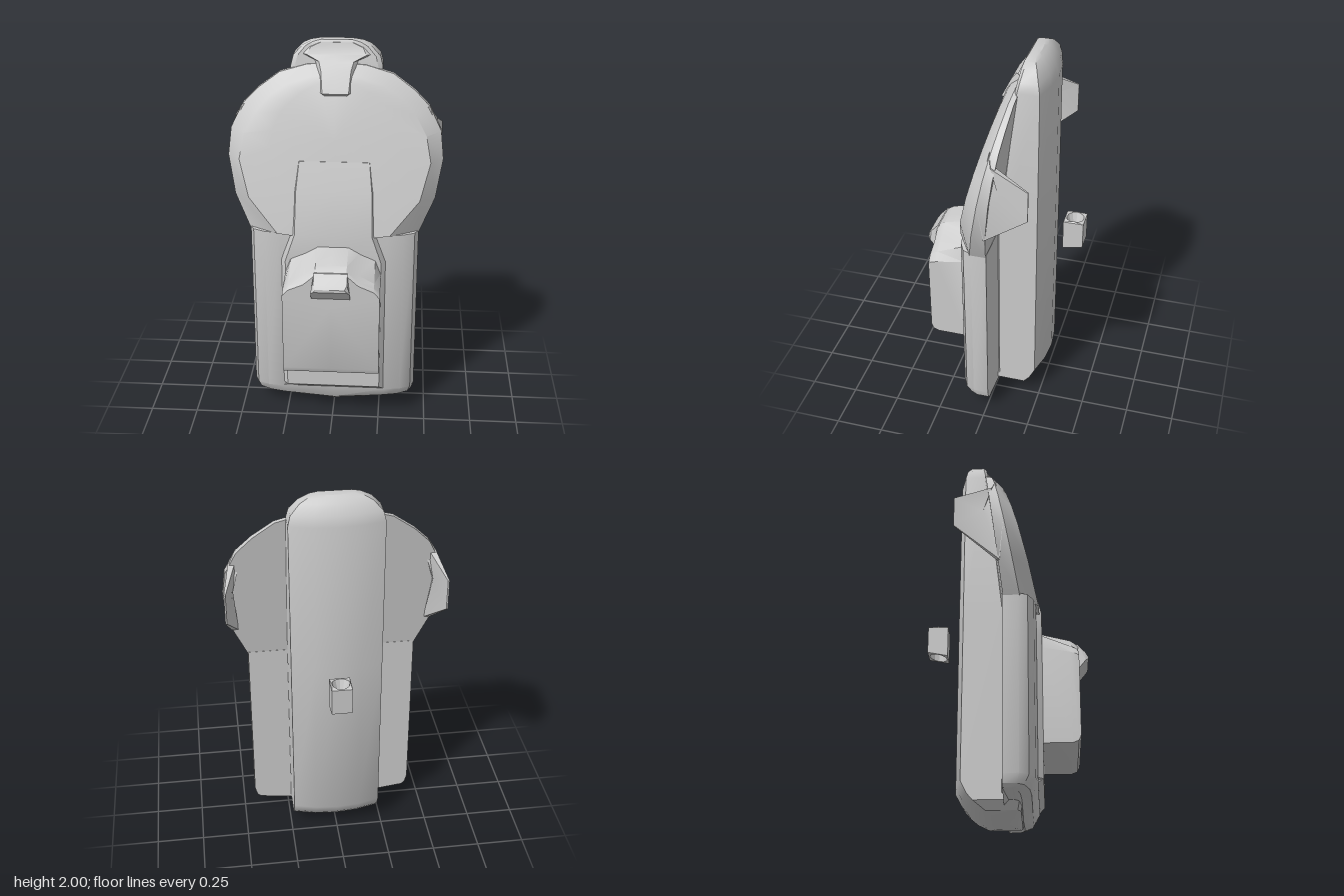
import * as THREE from 'three';
import { toCreasedNormals } from 'three/addons/utils/BufferGeometryUtils.js';

const material = new THREE.MeshStandardMaterial({ color: 0xcccccc });

// Skin a row of closed sections (each counterclockwise about the direction of travel) and cap both ends
function loft(sections) {
  const pos = [], n = sections[0].length;
  const tri = (...pts) => pts.forEach((p) => pos.push(...p));
  for (let i = 0; i < sections.length - 1; i++) {
    const s = sections[i], t = sections[i + 1];
    for (let j = 0; j < n; j++) {
      const k = (j + 1) % n;
      tri(s[j], s[k], t[k]);
      tri(s[j], t[k], t[j]);
    }
  }
  const middle = (s) => [0, 1, 2].map((a) => s.reduce((sum, p) => sum + p[a], 0) / n);
  const first = sections[0], last = sections[sections.length - 1];
  const c0 = middle(first), c1 = middle(last);
  for (let j = 0; j < n; j++) {
    const k = (j + 1) % n;
    tri(c0, first[k], first[j]);
    tri(c1, last[j], last[k]);
  }
  const g = new THREE.BufferGeometry();
  g.setAttribute('position', new THREE.Float32BufferAttribute(pos, 3));
  return toCreasedNormals(g, 0.55);
}

// Complete a right-hand half outline with its mirror image
const mirrored = (half) => half.concat(
  half.filter((p) => p[0] > 0).reverse().map(([x, v]) => [-x, v]));

export function createModel() {
  const model = new THREE.Group();
  const add = (name, geometry, mat = material) => {
    const mesh = new THREE.Mesh(geometry, mat);
    mesh.name = name;
    model.add(mesh);
    return mesh;
  };

  // Lower body with rounded front edges and a sagging belly
  const bodyHalf = [[0, 0.155], [0.28, 0.155], [0.36, 0.145], [0.42, 0.115], [0.44, 0.07], [0.44, -0.01], [0, -0.01]];
  const bodyRows = [ // y, sag, width scale, depth scale
    [0.06, 0.055, 0.93, 0.5], [0.075, 0.035, 0.97, 0.8], [0.12, 0, 1, 1], [1.05, 0, 1, 1]];
  add('lowerBody', loft(bodyRows.map(([y, sag, sx, sz]) => mirrored(bodyHalf).map(([x, z]) =>
    [x * sx, y - sag * (1 - Math.abs(x) / 0.44), z > 0 ? z * sz : z]))));

  // Round upper body: tilted plate with a bevelled rim and a shallow dome
  const rim = mirrored([[0, 1.04], [0.28, 1.04], [0.44, 1.04], [0.52, 1.22], [0.555, 1.42], [0.54, 1.56],
    [0.48, 1.68], [0.4, 1.76], [0.29, 1.84], [0.15, 1.88], [0, 1.89]]);
  const face = mirrored([[0, 1.04], [0.2, 1.04], [0.29, 1.05], [0.44, 1.23], [0.49, 1.42], [0.465, 1.55],
    [0.41, 1.65], [0.34, 1.73], [0.25, 1.79], [0.13, 1.83], [0, 1.84]]);
  const dome = mirrored([[0, 1.2], [0.12, 1.2], [0.2, 1.24], [0.29, 1.34], [0.33, 1.48], [0.32, 1.57],
    [0.28, 1.66], [0.23, 1.71], [0.17, 1.76], [0.09, 1.8], [0, 1.81]]);
  const tilt = (outline, z, slope, y0) => outline.map(([x, y]) => [x, y, z - slope * (y - y0)]);
  add('roundUpperBody', loft([
    tilt(rim, -0.01, 0.13, 1.06), tilt(rim, 0, 0.2, 1.42),
    tilt(face, 0.155, 0.265, 1.1), tilt(dome, 0.167, 0.265, 1.1)]));

  // Back spine running the full height
  const spineRows = [ // y, half width, front z, side z, back z
    [0, 0.1, 0.04, -0.06, -0.08], [0.015, 0.19, 0.07, -0.1, -0.13], [0.055, 0.235, 0.08, -0.16, -0.2],
    [0.09, 0.235, -0.005, -0.19, -0.23], [0.15, 0.235, -0.005, -0.22, -0.262], [1.06, 0.235, -0.005, -0.22, -0.262],
    [1.87, 0.235, -0.095, -0.22, -0.258], [1.92, 0.222, -0.105, -0.21, -0.243],
    [1.97, 0.175, -0.113, -0.19, -0.212], [1.99, 0.135, -0.118, -0.175, -0.19], [2, 0.09, -0.125, -0.165, -0.175]];
  add('backSpine', loft(spineRows.map(([y, w, zf, zs, zb]) => mirrored([
    [0, zf], [w * 0.9, zf], [w, zf - 0.015], [w, zs], [w * 0.5, zs + (zb - zs) * 0.75], [0, zb],
  ]).map(([x, z]) => [x, y, z]))));

  // Raised strip down the front
  const stripRows = [ // y, base half width, top half width, base z, top z
    [0.12, 0.28, 0.28, 0.1, 0.148], [0.15, 0.28, 0.25, 0.1, 0.182], [0.9, 0.28, 0.25, 0.1, 0.182],
    [1.05, 0.225, 0.2, 0.1, 0.182], [1.27, 0.22, 0.195, 0.04, 0.13], [1.42, 0.2, 0.18, 0, 0.084]];
  add('frontStrip', loft(stripRows.map(([y, wb, wt, zb, zt]) => mirrored([
    [0, zt], [wt, zt], [wb, Math.min(zt, Math.max(zb, zt - 0.037))], [wb, zb], [0, zb],
  ]).map(([x, z]) => [x, y, z]))));

  // Top clasp reaching from the spine over the round plate
  const claspRows = [ // y, half width, front z, back z
    [1.74, 0.07, -0.005, -0.08], [1.755, 0.083, 0.012, -0.1], [1.86, 0.095, -0.04, -0.14],
    [1.9, 0.11, -0.07, -0.15], [1.93, 0.19, -0.092, -0.16], [1.965, 0.165, -0.108, -0.16], [1.988, 0.1, -0.115, -0.16]];
  add('topClasp', loft(claspRows.map(([y, w, zf, zb]) => mirrored([
    [0, zf], [w * 0.8, zf], [w, zf - 0.03], [w, zb], [0, zb],
  ]).map(([x, z]) => [x, y, z]))));

  // Front pouch with a domed, forward sloping lid
  const pouch = (z, low, edge, ys) => mirrored([
    [0, low], [0.25, low], [0.25, edge], [0.22, ys[0]], [0.14, ys[1]], [0.08, ys[2]], [0, ys[2]],
  ]).map(([x, y]) => [x, y, z]);
  add('frontPouch', loft([
    pouch(0.17, 0.33, 0.84, [0.92, 0.955, 0.99]),
    pouch(0.325, 0.33, 0.81, [0.855, 0.9, 0.95]),
    pouch(0.355, 0.342, 0.8, [0.84, 0.875, 0.93]),
    pouch(0.367, 0.37, 0.79, [0.825, 0.86, 0.915])]));

  // Lid tab
  const tabRows = [[0.3, 0.1, 0.8, 0.935], [0.365, 0.1, 0.78, 0.925], [0.405, 0.1, 0.83, 0.88], [0.42, 0.085, 0.845, 0.86]];
  add('lidTab', loft(tabRows.map(([z, w, lo, hi]) => [[-w, lo, z], [w, lo, z], [w * 0.85, hi, z], [-w * 0.85, hi, z]])));

  // Thin side wings pointing backwards
  const wing = [[0.553, 1.38, -0.25], [0.553, 1.54, -0.25], [0.518, 1.62, -0.06],
    [0.48, 1.68, -0.045], [0.555, 1.42, 0], [0.518, 1.2, -0.02]];
  const inner = wing.map(([x, y, z]) => [x - (z < -0.1 ? 0.008 : 0.035), y, z]);
  const flip = (s) => s.map(([x, y, z]) => [-x, y, z]);
  add('leftWing', loft([inner, wing]));
  add('rightWing', loft([flip(wing), flip(inner)]));

  // Separate rear block with a conical socket
  const square = new THREE.Shape([[-1, -1], [1, -1], [1, 1], [-1, 1]].map(([x, y]) => new THREE.Vector2(x * 0.053, y * 0.053)));
  square.holes.push(new THREE.Path().absarc(0, 0, 0.046, 0, Math.PI * 2, true));
  const block = new THREE.ExtrudeGeometry(square, { depth: 0.16, bevelEnabled: false, curveSegments: 6 });
  block.rotateX(-Math.PI / 2);
  const p = block.attributes.position;
  for (let i = 0; i < p.count; i++) {
    const z = p.getZ(i);
    p.setY(i, p.getY(i) < 0.01 ? 0.9 - z * 0.2 : 1.062 - Math.abs(z) * 0.15);
  }
  block.computeVertexNormals();
  add('rearBlock', block).position.z = -0.368;
  const thin = new THREE.MeshStandardMaterial({ color: 0xcccccc, side: THREE.DoubleSide, flatShading: true });
  const socket = new THREE.ConeGeometry(0.046, 0.13, 12, 1, true).rotateX(Math.PI);
  add('rearSocket', socket, thin).position.set(0, 0.99, -0.368);

  return model;
}
